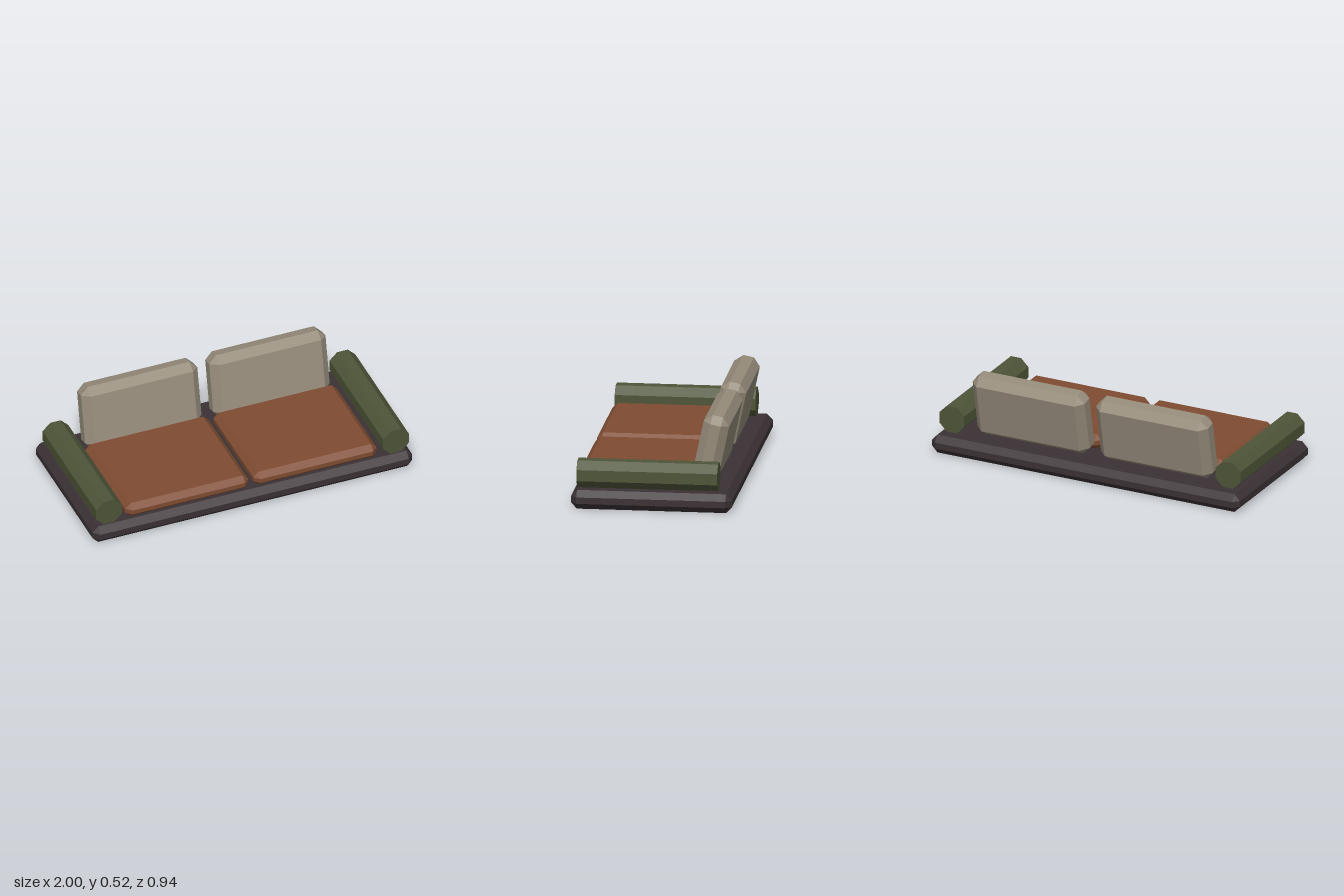
import * as THREE from 'three';

const charcoal = new THREE.MeshStandardMaterial({ color: 0x3a3134, side: THREE.DoubleSide });
charcoal.name = 'charcoal base';
const rust = new THREE.MeshStandardMaterial({ color: 0x7f4c31 });
rust.name = 'rust fabric';
const stone = new THREE.MeshStandardMaterial({ color: 0x958b7a });
stone.name = 'stone fabric';
const olive = new THREE.MeshStandardMaterial({ color: 0x4e5538 });
olive.name = 'olive fabric';

// Flat-faced box with every edge and corner chamfered, centred on the origin
function chamferBox(w, h, d, c, cy = c, closedBottom = true) {
  const X = w / 2, Y = h / 2, Z = d / 2, x = X - c, z = Z - c;
  const octagon = [[x, Z], [X, z], [X, -z], [x, -Z], [-x, -Z], [-X, -z], [-X, z], [-x, Z]];
  const inset = octagon.map(([a, b]) => [Math.sign(a) * x, Math.sign(b) * z]);
  const rings = [[inset, -Y], [octagon, -Y + cy], [octagon, Y - cy], [inset, Y]]
    .map(([ring, y]) => ring.map(([a, b]) => new THREE.Vector3(a, y, b)));
  const pts = [];
  const tri = (a, b, e) => {
    const area = b.clone().sub(a).cross(e.clone().sub(a)).length();
    if (area > 1e-9) pts.push(a, b, e);
  };
  for (let r = 0; r < 3; r++) {
    for (let i = 0; i < 8; i++) {
      const j = (i + 1) % 8;
      tri(rings[r][i], rings[r][j], rings[r + 1][j]);
      tri(rings[r][i], rings[r + 1][j], rings[r + 1][i]);
    }
  }
  for (let i = 1; i < 7; i++) {
    tri(rings[3][0], rings[3][i], rings[3][i + 1]);
    if (closedBottom) tri(rings[0][0], rings[0][i + 1], rings[0][i]);
  }
  const geo = new THREE.BufferGeometry().setFromPoints(pts);
  geo.computeVertexNormals();
  return geo;
}

function part(name, geo, mat, x, y, z) {
  const mesh = new THREE.Mesh(geo, mat);
  mesh.name = name;
  mesh.position.set(x, y, z);
  return mesh;
}

export function createModel() {
  const sofa = new THREE.Group();
  sofa.name = 'lowSofa';

  // Low platform, open underneath
  sofa.add(part('base', chamferBox(2, 0.112, 0.94, 0.035, 0.037, false), charcoal, 0, 0.056, 0));

  const seatGeo = chamferBox(0.77, 0.092, 0.676, 0.033, 0.032);
  const backGeo = chamferBox(0.728, 0.4, 0.152, 0.045);

  // Octagonal bolster running front to back, flats facing up and sideways
  let armGeo = new THREE.CylinderGeometry(0.0866, 0.0866, 0.822, 8);
  armGeo.rotateY(Math.PI / 8);
  armGeo.rotateX(Math.PI / 2);
  armGeo = armGeo.toNonIndexed();
  armGeo.computeVertexNormals();

  for (const [side, s] of [['left', 1], ['right', -1]]) {
    sofa.add(part(side + 'SeatCushion', seatGeo, rust, s * 0.401, 0.157, 0.105));
    const back = part(side + 'BackCushion', backGeo, stone, s * 0.401, 0.319, -0.317);
    back.rotation.x = -0.209;
    sofa.add(back);
    sofa.add(part(side + 'ArmBolster', armGeo, olive, s * 0.898, 0.2, 0.026));
  }
  return sofa;
}
